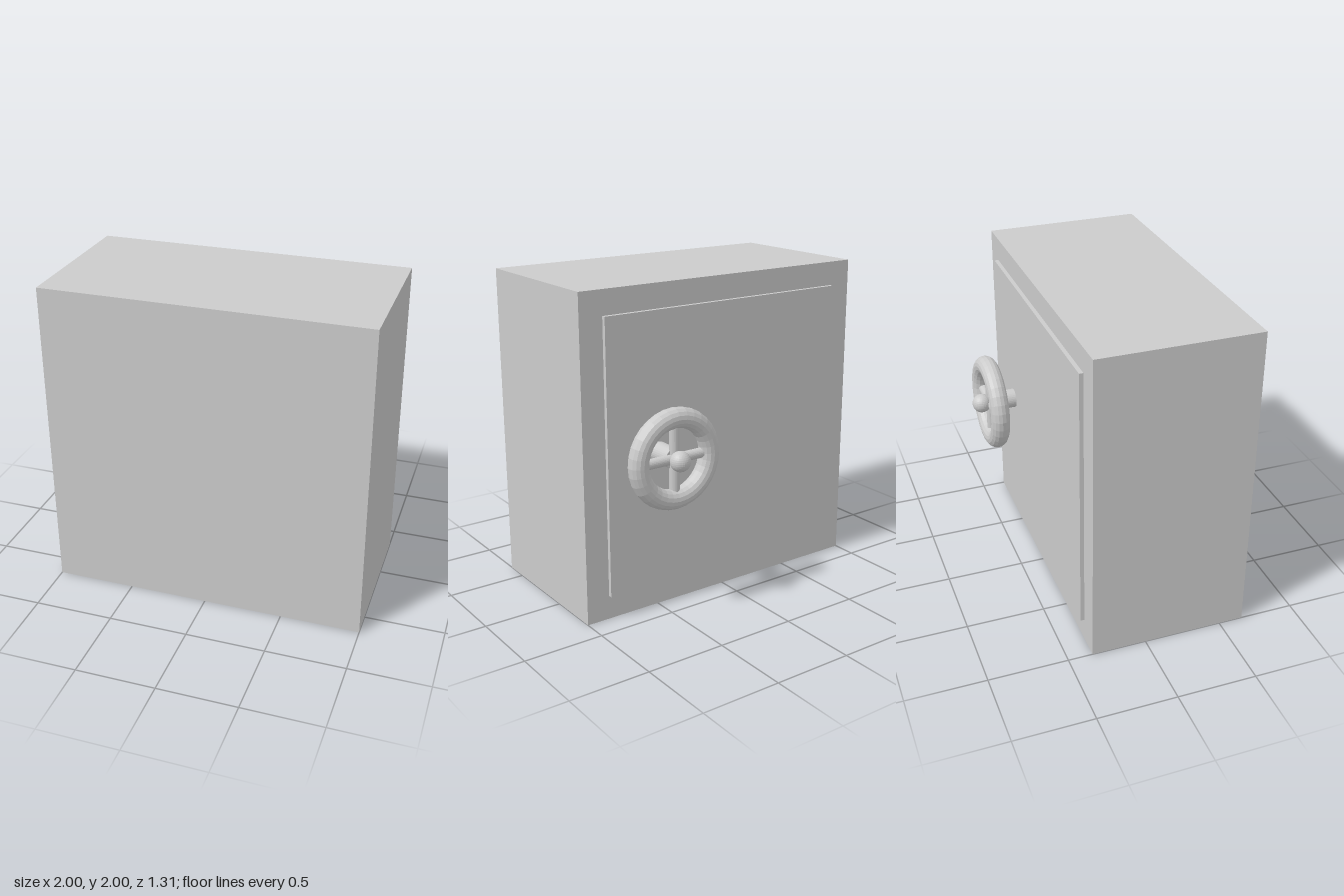
import * as THREE from 'three';

const mat = new THREE.MeshStandardMaterial({ color: 0xcccccc, flatShading: true });

function part(name, geometry, x, y, z) {
  const mesh = new THREE.Mesh(geometry, mat);
  mesh.name = name;
  mesh.position.set(x, y, z);
  return mesh;
}

export function createModel() {
  const safe = new THREE.Group();
  safe.name = 'safe';

  // Body, with a thin raised door on its back face
  safe.add(part('body', new THREE.BoxGeometry(2, 2, 1), 0, 1, 0.155));
  safe.add(part('door', new THREE.BoxGeometry(1.7, 1.7, 0.05), 0, 1, -0.345));

  // Hand wheel, centred on the plane of its rim
  const wheel = new THREE.Group();
  wheel.name = 'handWheel';
  wheel.position.set(0.5, 1, -0.532);
  wheel.add(part('rim', new THREE.TorusGeometry(0.248, 0.062, 16, 32), 0, 0, 0));

  // Two crossed bars make the four spokes
  for (const angle of [0, Math.PI / 2]) {
    const spoke = part('spoke', new THREE.CylinderGeometry(0.031, 0.031, 0.5, 24), 0, 0, 0);
    spoke.rotation.z = angle;
    wheel.add(spoke);
  }

  // Shaft from the door to the wheel, and the round cap
  const shaft = part('shaft', new THREE.CylinderGeometry(0.062, 0.062, 0.19, 32), 0, 0, 0.095);
  shaft.rotation.x = Math.PI / 2;
  wheel.add(shaft);
  wheel.add(part('cap', new THREE.SphereGeometry(0.062, 32, 16), 0, 0, -0.061));

  safe.add(wheel);
  return safe;
}
